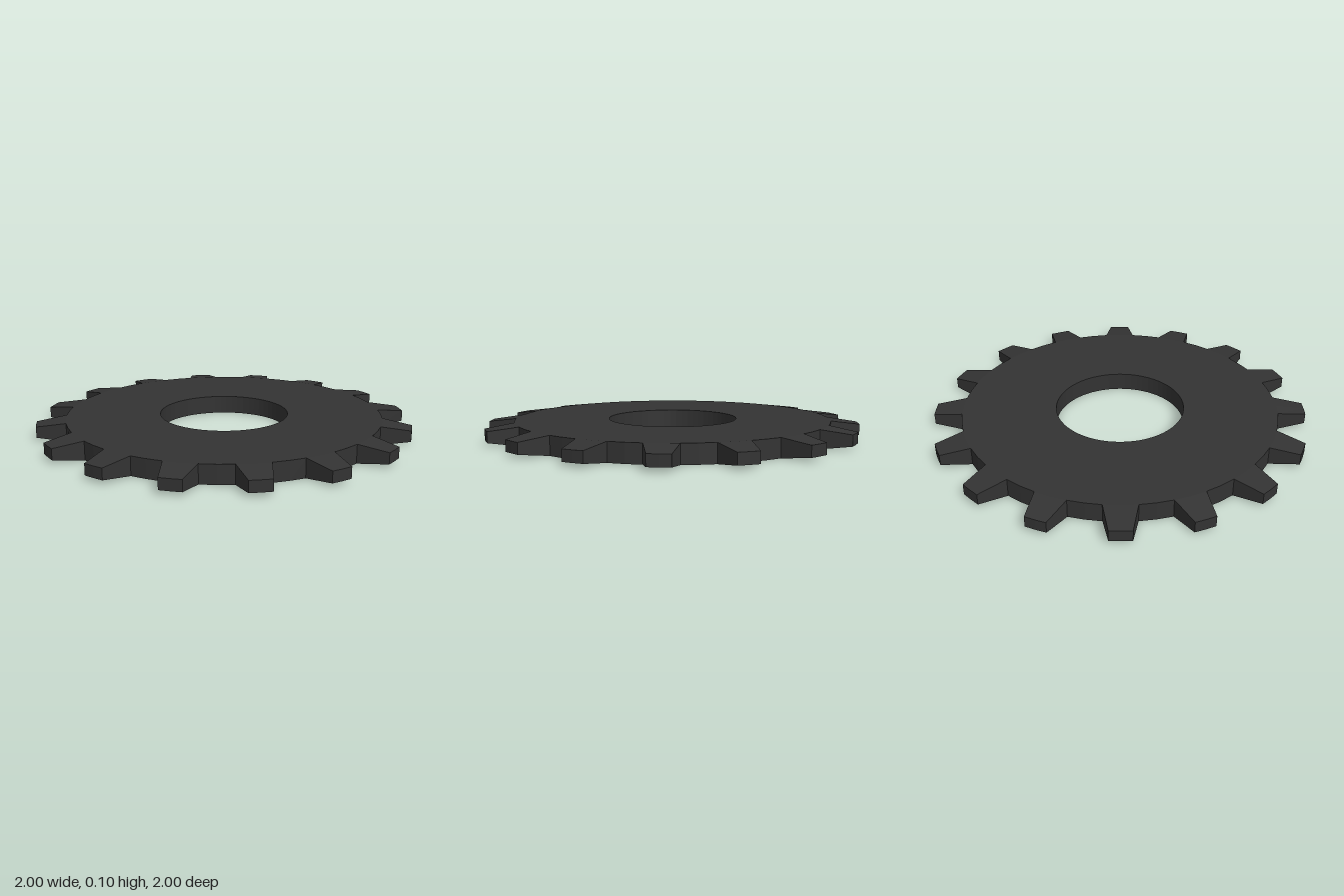
import * as THREE from 'three';

const TEETH = 16, SEGMENTS = TEETH * 4, STEP = (Math.PI * 2) / SEGMENTS;
const HOLE_R = 0.345, ROOT_R = 0.848, TIP_R = 1.001;
const HEIGHT = 0.098, TIP_LOW = 0.02, TIP_HIGH = 0.078;
const TIP_HALF_ANGLE = THREE.MathUtils.degToRad(3.16);

// Point at an angle counter-clockwise from +x as seen from above
const polar = (r, a, y) => [r * Math.cos(a), y, -r * Math.sin(a)];

// Corners run counter-clockwise seen from the outside
function addQuad(out, a, b, c, d) {
  out.push(...a, ...b, ...c, ...a, ...c, ...d);
}

function makeMesh(name, positions, material) {
  const geometry = new THREE.BufferGeometry();
  geometry.setAttribute('position', new THREE.Float32BufferAttribute(positions, 3));
  geometry.computeVertexNormals();
  const mesh = new THREE.Mesh(geometry, material);
  mesh.name = name;
  return mesh;
}

// Flat ring: top, underside, bore wall and the root wall between teeth
function buildPlate() {
  const out = [];
  for (let i = 0; i < SEGMENTS; i++) {
    const a = (i - 0) * STEP, b = a + STEP;
    const h = HEIGHT;
    addQuad(out, polar(HOLE_R, a, h), polar(ROOT_R, a, h), polar(ROOT_R, b, h), polar(HOLE_R, b, h));
    addQuad(out, polar(HOLE_R, b, 0), polar(ROOT_R, b, 0), polar(ROOT_R, a, 0), polar(HOLE_R, a, 0));
    addQuad(out, polar(HOLE_R, b, 0), polar(HOLE_R, a, 0), polar(HOLE_R, a, h), polar(HOLE_R, b, h));
    if (i % 4 >= 2) {
      addQuad(out, polar(ROOT_R, a, 0), polar(ROOT_R, b, 0), polar(ROOT_R, b, h), polar(ROOT_R, a, h));
    }
  }
  return out;
}

// One tooth, narrowing in width and thickness towards its tip
function buildTooth(center) {
  const out = [];
  const section = (side) => {
    const root = center + side * STEP, tip = center + side * TIP_HALF_ANGLE;
    return {
      rootLow: polar(ROOT_R, root, 0), rootHigh: polar(ROOT_R, root, HEIGHT),
      tipLow: polar(TIP_R, tip, TIP_LOW), tipHigh: polar(TIP_R, tip, TIP_HIGH),
    };
  };
  const s = [-1, 0, 1].map(section);
  for (let k = 0; k < 2; k++) {
    const p = s[k], q = s[k + 1];
    addQuad(out, p.rootHigh, p.tipHigh, q.tipHigh, q.rootHigh);
    addQuad(out, q.rootLow, q.tipLow, p.tipLow, p.rootLow);
    addQuad(out, p.tipLow, q.tipLow, q.tipHigh, p.tipHigh);
  }
  addQuad(out, s[0].rootLow, s[0].tipLow, s[0].tipHigh, s[0].rootHigh);
  addQuad(out, s[2].tipLow, s[2].rootLow, s[2].rootHigh, s[2].tipHigh);
  return out;
}

export function createModel() {
  const group = new THREE.Group();
  group.name = 'gear';
  const material = new THREE.MeshStandardMaterial({ color: 0x333333, flatShading: true });

  group.add(makeMesh('plate', buildPlate(), material));

  const teeth = new THREE.Group();
  teeth.name = 'teeth';
  for (let i = 0; i < TEETH; i++) {
    teeth.add(makeMesh('tooth', buildTooth((4 * i + 1) * STEP), material));
  }
  group.add(teeth);
  return group;
}
